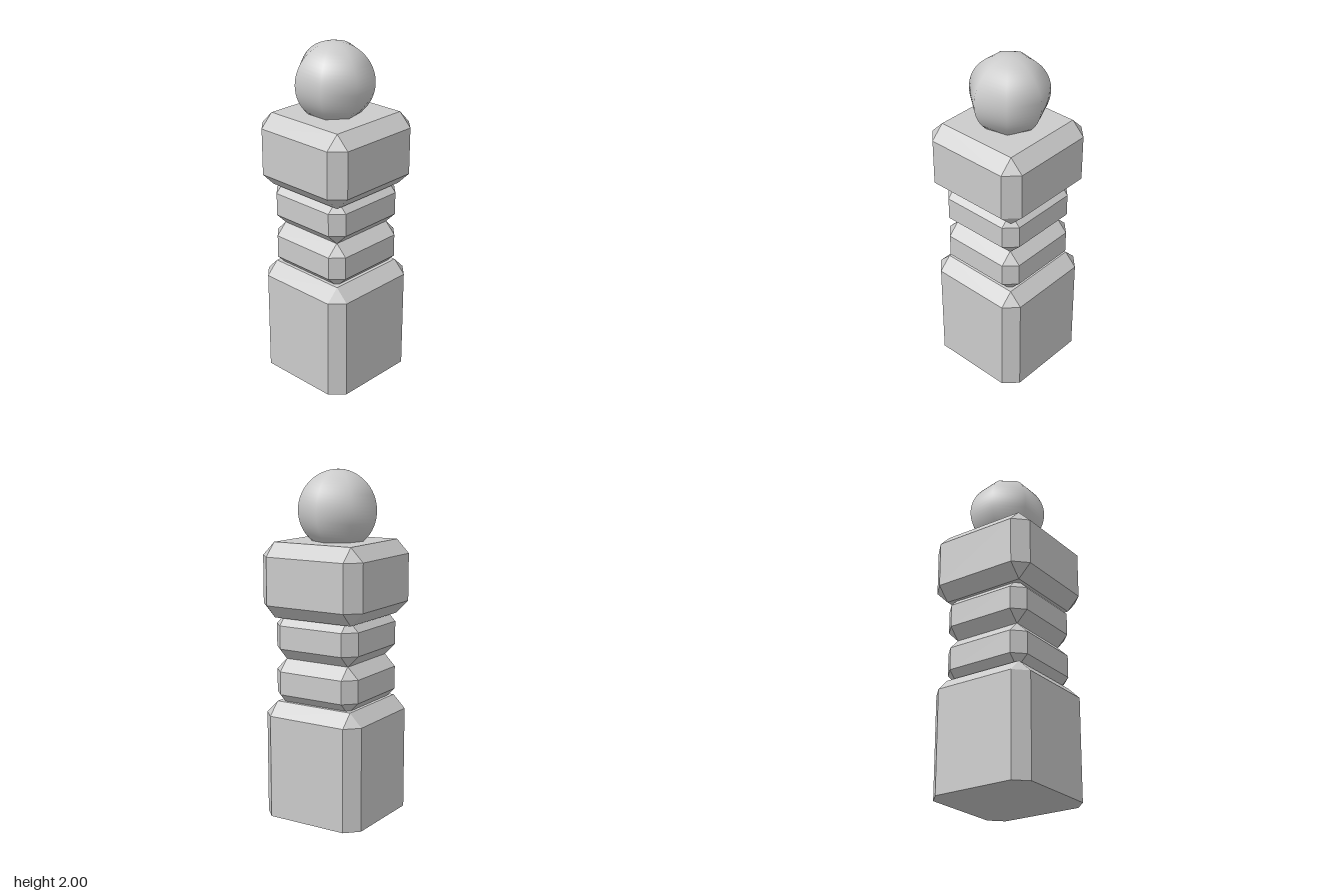
import * as THREE from 'three';
import { ConvexGeometry } from 'three/addons/geometries/ConvexGeometry.js';

const material = new THREE.MeshStandardMaterial({ color: 0xcccccc, flatShading: true });
const smooth = new THREE.MeshStandardMaterial({ color: 0xcccccc });

// Square block with every edge bevelled; the bottom edges may stay sharp
function bevelledBlock(name, half, y0, y1, bevel, bevelBottom = true) {
  const inner = half - bevel;
  const points = [];
  for (const sx of [-1, 1]) for (const sz of [-1, 1]) {
    const add = (x, y, z) => points.push(new THREE.Vector3(sx * x, y, sz * z));
    for (const y of [bevelBottom ? y0 + bevel : y0, y1 - bevel]) {
      add(half, y, inner);
      add(inner, y, half);
    }
    add(inner, y1, inner);
    if (bevelBottom) add(inner, y0, inner);
  }
  const mesh = new THREE.Mesh(new ConvexGeometry(points), material);
  mesh.name = name;
  return mesh;
}

export function createModel() {
  const group = new THREE.Group();
  group.name = 'post';

  // Stacked shaft: plain base, two narrow bands and a wide cap
  group.add(
    bevelledBlock('base', 0.32, 0, 0.68, 0.075, false),
    bevelledBlock('lowerBand', 0.273, 0.66, 0.93, 0.068),
    bevelledBlock('upperBand', 0.273, 0.927, 1.197, 0.068),
    bevelledBlock('cap', 0.33, 1.17, 1.6, 0.078)
  );

  // Seven-sided ball, slightly off centre, with a corner towards the back
  const ball = new THREE.Mesh(new THREE.SphereGeometry(0.228, 7, 32, -Math.PI / 2), smooth);
  ball.name = 'ball';
  ball.position.set(-0.013, 1.772, 0);
  group.add(ball);

  return group;
}
